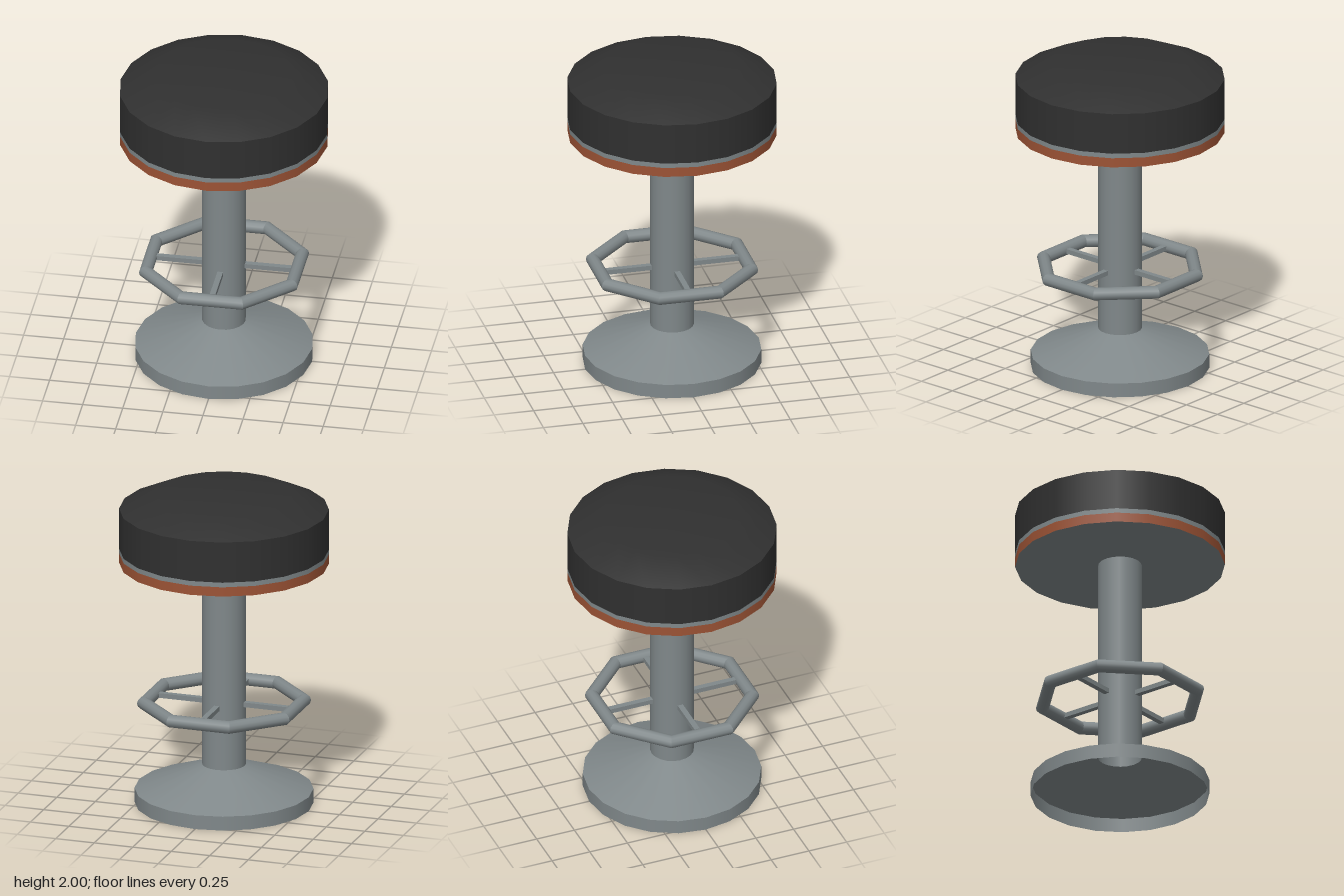
import * as THREE from 'three';

const SIDES = 20;

export function createModel() {
  const stool = new THREE.Group();
  stool.name = 'barStool';

  const mat = (name, color) =>
    new THREE.MeshStandardMaterial({ name, color, side: THREE.DoubleSide });
  const metal = mat('brushedMetal', 0x80888a);
  const cushion = mat('blackCushion', 0x303030);
  const rust = mat('rustTrim', 0x9c5335);

  const add = (name, geometry, material, parent = stool) => {
    const mesh = new THREE.Mesh(geometry, material);
    mesh.name = name;
    parent.add(mesh);
    return mesh;
  };

  // Turned surface through [radius, height] points, smooth within one piece
  const turned = (name, points, material) =>
    add(name, new THREE.LatheGeometry(points.map(([r, y]) => new THREE.Vector2(r, y)), SIDES), material);

  // Hollow base, open underneath
  turned('baseRim', [[0.55, 0], [0.55, 0.09]], metal);
  turned('baseCone', [[0.55, 0.09], [0.135, 0.25]], metal);
  turned('column', [[0.135, 0.25], [0.135, 1.55]], metal);

  // Seat with two trim bands
  turned('seatUnderside', [[0, 1.55], [0.645, 1.55]], metal);
  turned('seatLowerTrim', [[0.645, 1.55], [0.645, 1.61]], rust);
  turned('seatUpperTrim', [[0.645, 1.61], [0.645, 1.64]], metal);
  turned('seatSide', [[0.645, 1.64], [0.645, 1.9]], cushion);
  turned('seatTop', [[0.645, 1.9], [0.425, 2], [0, 2]], cushion);

  // Octagonal foot ring from eight mitred bars
  const footrest = new THREE.Group();
  footrest.name = 'footrest';
  footrest.position.y = 0.65;
  stool.add(footrest);

  const apothem = 0.455;
  const bar = new THREE.CylinderGeometry(0.04, 0.04, 1, 12, 1, true);
  const p = bar.attributes.position;
  for (let i = 0; i < p.count; i++) {
    p.setY(i, Math.sign(p.getY(i)) * (apothem + p.getX(i)) * Math.tan(Math.PI / 8));
  }
  bar.rotateX(Math.PI / 2).translate(apothem, 0, 0);
  for (let i = 0; i < 8; i++) {
    add('ringBar', bar, metal, footrest).rotation.y = i * Math.PI / 4;
  }

  // Four spokes from the column to the ring
  const spoke = new THREE.BoxGeometry(0.33, 0.03, 0.035).translate(0.285, 0, 0);
  for (let i = 0; i < 4; i++) {
    add('spoke', spoke, metal, footrest).rotation.y = i * Math.PI / 2;
  }

  return stool;
}
